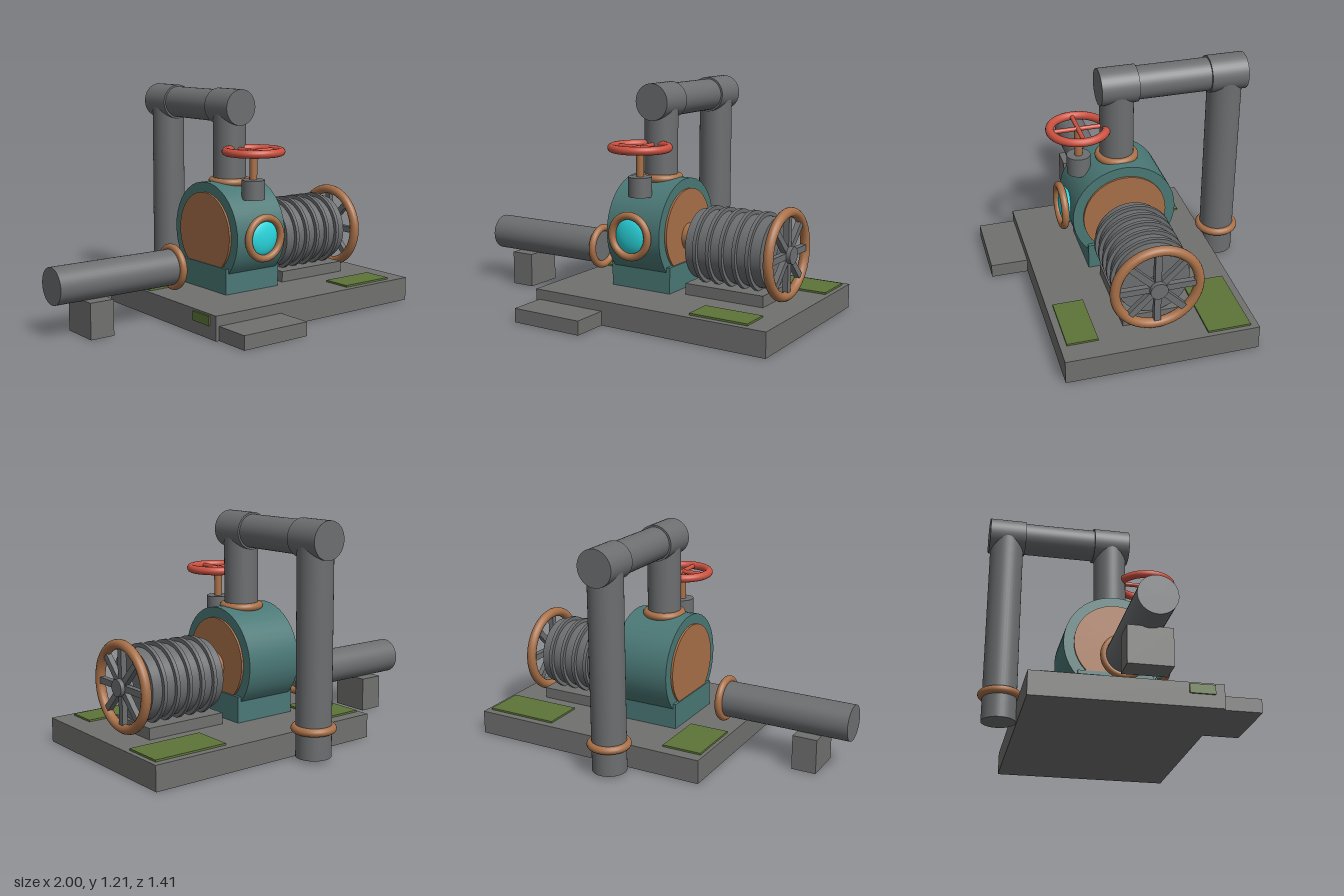
import * as THREE from 'three';

export function createModel() {
  const model = new THREE.Group();
  const mat = (name, color) => {
    const m = new THREE.MeshStandardMaterial({ color });
    m.name = name;
    return m;
  };
  const steel = mat('steel grey', 0x6c6e70);
  const stone = mat('concrete grey', 0x70716f);
  const teal = mat('teal paint', 0x4a7876);
  const copper = mat('copper', 0xa87048);
  const red = mat('valve red', 0xcc5241);
  const glass = mat('cyan glass', 0x2ad8e0);
  const moss = mat('moss green', 0x5e7539);

  const add = (name, geometry, material, x, y, z, parent = model) => {
    const mesh = new THREE.Mesh(geometry, material);
    mesh.name = name;
    mesh.position.set(x, y, z);
    parent.add(mesh);
    return mesh;
  };
  // box given by its extents
  const box = (name, material, [x0, x1], [y0, y1], [z0, z1]) =>
    add(name, new THREE.BoxGeometry(x1 - x0, y1 - y0, z1 - z0), material,
      (x0 + x1) / 2, (y0 + y1) / 2, (z0 + z1) / 2);
  // turn a geometry whose axis is y onto another axis
  const align = (g, axis) => {
    if (axis === 'x') g.rotateZ(-Math.PI / 2);
    if (axis === 'z') g.rotateX(Math.PI / 2);
    return g;
  };
  const cyl = (name, material, axis, r, length, x, y, z, parent) =>
    add(name, align(new THREE.CylinderGeometry(r, r, length, 40), axis), material, x, y, z, parent);
  const ring = (name, material, axis, R, tube, x, y, z, parent) =>
    add(name, align(new THREE.TorusGeometry(R, tube, 14, 48).rotateX(Math.PI / 2), axis),
      material, x, y, z, parent);

  // Base slab and step
  box('baseSlab', stone, [-0.36, 1], [0, 0.13], [-0.5, 0.5]);
  box('step', stone, [-0.34, 0.065], [0, 0.075], [0.5, 0.7]);

  // Moss patches
  box('mossBackLeft', moss, [-0.34, -0.12], [0.13, 0.14], [-0.435, -0.12]);
  box('mossBackRight', moss, [0.565, 0.975], [0.13, 0.14], [-0.46, -0.235]);
  box('mossFront', moss, [0.565, 0.885], [0.13, 0.14], [0.305, 0.465]);
  box('mossSide', moss, [-0.37, -0.36], [0.07, 0.12], [0.315, 0.45]);

  // Pump casing with end plates on a pedestal
  const px = 0.11, py = 0.435;
  box('pedestal', teal, [-0.07, 0.292], [0.13, 0.27], [-0.203, 0.203]);
  cyl('casing', teal, 'x', 0.28, 0.325, px, py, 0);
  cyl('endPlates', copper, 'x', 0.225, 0.348, px, py, 0);
  cyl('coupling', copper, 'x', 0.072, 0.13, 0.32, 0.402, 0);

  // Porthole
  ring('portholeRim', copper, 'z', 0.11, 0.02, px, py, 0.308);
  const pane = add('portholeGlass', new THREE.SphereGeometry(0.1, 32, 20), glass, px, py, 0.285);
  pane.scale.z = 0.35;

  // Motor with cooling fins
  const my = 0.377;
  box('motorFoot', stone, [0.362, 0.812], [0.13, 0.19], [-0.16, 0.16]);
  cyl('motorBody', steel, 'x', 0.186, 0.43, 0.588, my, 0);
  for (let i = 0; i < 5; i++) cyl('coolingFin', steel, 'x', 0.206, 0.02, 0.436 + i * 0.0755, my, 0);

  // Flywheel
  const flywheel = new THREE.Group();
  flywheel.name = 'flywheel';
  flywheel.position.set(0.862, my, 0);
  model.add(flywheel);
  ring('flywheelRim', copper, 'x', 0.216, 0.026, 0, 0, 0, flywheel);
  cyl('flywheelHub', steel, 'x', 0.045, 0.075, 0, 0, 0, flywheel);
  for (let i = 0; i < 4; i++) {
    add('flywheelSpoke', new THREE.BoxGeometry(0.03, 0.42, 0.034), steel, 0, 0, 0, flywheel)
      .rotation.x = i * Math.PI / 4;
  }

  // Outlet pipe: up, back and down
  const oy = 1.116, bz = -0.59;
  cyl('outletRiser', steel, 'y', 0.09, 0.43, px, 0.895, 0);
  ring('riserCollar', copper, 'y', 0.095, 0.021, px, 0.71, 0);
  for (const z of [0, bz]) cyl('pipeElbow', steel, 'z', 0.098, 0.2, px, oy, z);
  cyl('outletCrossPipe', steel, 'z', 0.088, 0.5, px, oy, bz / 2);
  cyl('outletDownPipe', steel, 'y', 0.092, 1.09, px, 0.56, bz);
  ring('downPipeCollar', copper, 'y', 0.096, 0.021, px, 0.163, bz);

  // Inlet pipe on its support
  cyl('inletPipe', steel, 'x', 0.097, 0.72, -0.64, 0.277, 0);
  ring('inletCollar', copper, 'x', 0.105, 0.02, -0.276, 0.277, 0);
  box('inletSupport', stone, [-0.845, -0.71], [0, 0.19], [-0.11, 0.11]);

  // Valve with handwheel
  const vz = 0.207, vy = 0.89;
  cyl('valveGland', steel, 'y', 0.063, 0.105, px, 0.685, vz);
  cyl('valveStem', copper, 'y', 0.021, 0.17, px, 0.805, vz);
  ring('handwheelRim', red, 'y', 0.148, 0.022, px, vy, vz);
  for (const axis of ['x', 'z']) cyl('handwheelSpoke', red, axis, 0.012, 0.296, px, vy, vz);

  return model;
}
